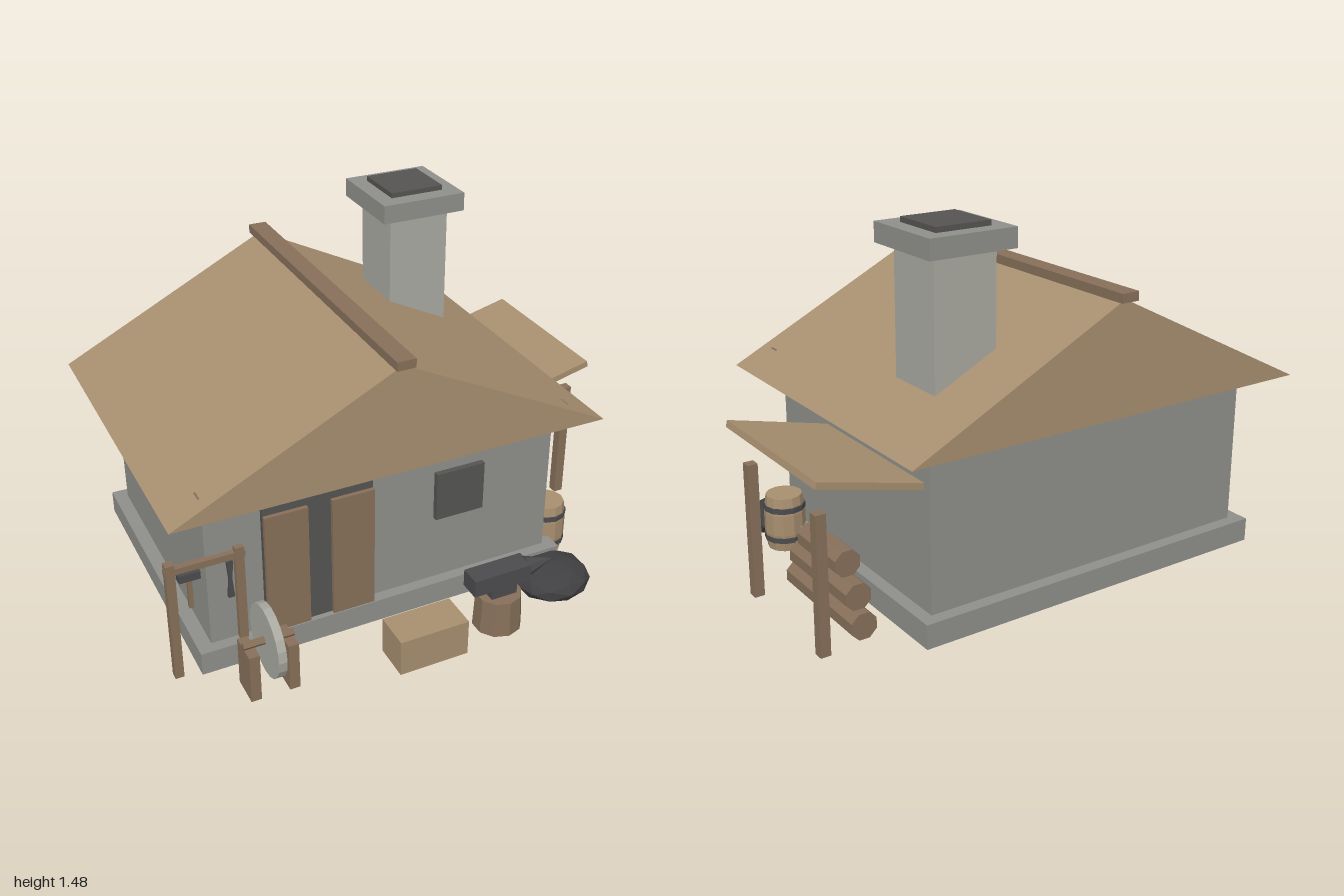
import * as THREE from 'three';

const mat = (color) => new THREE.MeshStandardMaterial({ color, flatShading: true });

export function createModel() {
  const model = new THREE.Group();
  const stone = mat(0x8f8f8b), paleStone = mat(0xaaaaa2), dark = mat(0x555453);
  const tan = mat(0xa88f70), wood = mat(0x87705a), iron = mat(0x4c4c4e), coal = mat(0x404042);

  const add = (name, geo, material, parent = model) => {
    const mesh = new THREE.Mesh(geo, material);
    mesh.name = name;
    parent.add(mesh);
    return mesh;
  };
  // Box given by its limits on each axis
  const box = (name, m, [x0, x1], [y0, y1], [z0, z1], parent) => {
    const mesh = add(name, new THREE.BoxGeometry(x1 - x0, y1 - y0, z1 - z0), m, parent);
    mesh.position.set((x0 + x1) / 2, (y0 + y1) / 2, (z0 + z1) / 2);
    return mesh;
  };
  // Prism: an outline in x and y, run along z
  const prism = (name, m, points, z0, z1) => {
    const shape = new THREE.Shape(points.map(([x, y]) => new THREE.Vector2(x, y)));
    const geo = new THREE.ExtrudeGeometry(shape, { depth: z1 - z0, bevelEnabled: false });
    return add(name, geo.translate(0, 0, z0), m);
  };
  const group = (name) => {
    const g = new THREE.Group();
    g.name = name;
    model.add(g);
    return g;
  };

  // House
  box('foundation', stone, [-0.9, 0.64], [0.05, 0.145], [-0.695, 0.48]);
  box('walls', stone, [-0.845, 0.59], [0.145, 0.77], [-0.645, 0.435]);
  prism('roof', tan, [[-1, 0.765], [0.74, 0.765], [-0.13, 1.2]], -0.775, 0.56);
  box('ridgeBeam', wood, [-0.167, -0.093], [1.195, 1.23], [-0.8, 0.585]);
  box('eaveBeam', wood, [-0.872, 0.612], [0.78, 0.832], [0.455, 0.5]);

  // Chimney
  const chimney = group('chimney');
  box('chimneyShaft', paleStone, [0.23, 0.485], [0.77, 1.38], [-0.515, -0.26], chimney);
  box('chimneyCap', stone, [0.18, 0.535], [1.38, 1.455], [-0.568, -0.212], chimney);
  box('flue', dark, [0.245, 0.47], [1.455, 1.475], [-0.505, -0.28], chimney);

  // Doorway and window
  box('doorway', dark, [-0.63, -0.195], [0.145, 0.71], [0.42, 0.458]);
  box('leftDoorLeaf', wood, [-0.365, -0.195], [0.145, 0.66], [0.44, 0.475]);
  box('rightDoorLeaf', wood, [-0.63, -0.46], [0.145, 0.66], [0.44, 0.475]);
  box('window', dark, [0.075, 0.28], [0.43, 0.635], [0.42, 0.458]);

  // Side shelter with posts and stacked logs
  prism('awning', tan, [[0.592, 0.605], [1, 0.705], [0.994, 0.73], [0.586, 0.63]], -0.607, 0.083);
  for (const z of [0, -0.52]) box('awningPost', wood, [0.93, 0.97], [0.05, 0.58], [z - 0.02, z + 0.02]);
  [0.5, 0.43, 0.285].forEach((length, i) => {
    const geo = new THREE.CylinderGeometry(0.054, 0.054, length, 8).rotateY(Math.PI / 8).rotateX(Math.PI / 2);
    add('log', geo, wood).position.set(0.783, 0.102 + i * 0.098, -0.262);
  });

  // Barrel with hoops
  const barrel = group('barrel');
  barrel.position.set(0.668, 0.05, 0.33);
  const stave = [[0, 0], [0.073, 0], [0.083, 0.07], [0.083, 0.155], [0.073, 0.225], [0, 0.225]];
  add('barrelBody', new THREE.LatheGeometry(stave.map(([r, y]) => new THREE.Vector2(r, y)), 12), tan, barrel);
  for (const y of [0.048, 0.175]) {
    add('barrelHoop', new THREE.CylinderGeometry(0.084, 0.084, 0.022, 12), iron, barrel).position.y = y;
  }

  // Coal heap
  const heap = add('coalHeap', new THREE.IcosahedronGeometry(1, 1), coal);
  heap.scale.set(0.16, 0.072, 0.15);
  heap.position.set(0.563, 0.072, 0.555);

  box('crate', tan, [-0.245, 0.037], [0.05, 0.2], [0.645, 0.797]);

  // Anvil on a stump
  add('stump', new THREE.CylinderGeometry(0.09, 0.097, 0.15, 10), wood).position.set(0.23, 0.125, 0.685);
  const anvil = group('anvil');
  box('anvilFoot', iron, [0.178, 0.287], [0.2, 0.24], [0.65, 0.725], anvil);
  box('anvilBody', iron, [0.1, 0.345], [0.24, 0.312], [0.642, 0.728], anvil);
  add('anvilHorn', new THREE.ConeGeometry(0.044, 0.125, 8).rotateZ(-Math.PI / 2), iron, anvil)
    .position.set(0.404, 0.277, 0.685);

  // Grindstone on its stand
  const grinder = group('grindstone');
  const wheel = new THREE.CylinderGeometry(0.14, 0.14, 0.032, 20).rotateZ(Math.PI / 2);
  add('wheel', wheel, paleStone, grinder).position.set(-0.695, 0.262, 0.637);
  const axle = new THREE.CylinderGeometry(0.015, 0.015, 0.195, 6).rotateZ(Math.PI / 2);
  add('axle', axle, wood, grinder).position.set(-0.695, 0.265, 0.637);
  for (const x of [-0.77, -0.62]) {
    box('standLeg', wood, [x - 0.02, x + 0.02], [0.05, 0.25], [0.572, 0.692], grinder);
  }

  // Tool rack beside the doors
  const rack = group('toolRack');
  for (const x of [-0.98, -0.722]) {
    box('rackPost', wood, [x - 0.017, x + 0.017], [0.05, 0.555], [0.425, 0.459], rack);
  }
  box('rackBar', wood, [-1, -0.7], [0.51, 0.537], [0.43, 0.457], rack);
  box('hammerHead', iron, [-0.955, -0.875], [0.48, 0.512], [0.437, 0.472], rack);
  box('hammerHandle', wood, [-0.922, -0.905], [0.355, 0.485], [0.446, 0.463], rack);
  for (const side of [-1, 1]) {
    const arm = box('tongArm', iron, [-0.768, -0.756], [0.35, 0.51], [0.448, 0.462], rack);
    arm.rotation.z = side * 0.08;
  }
  return model;
}
